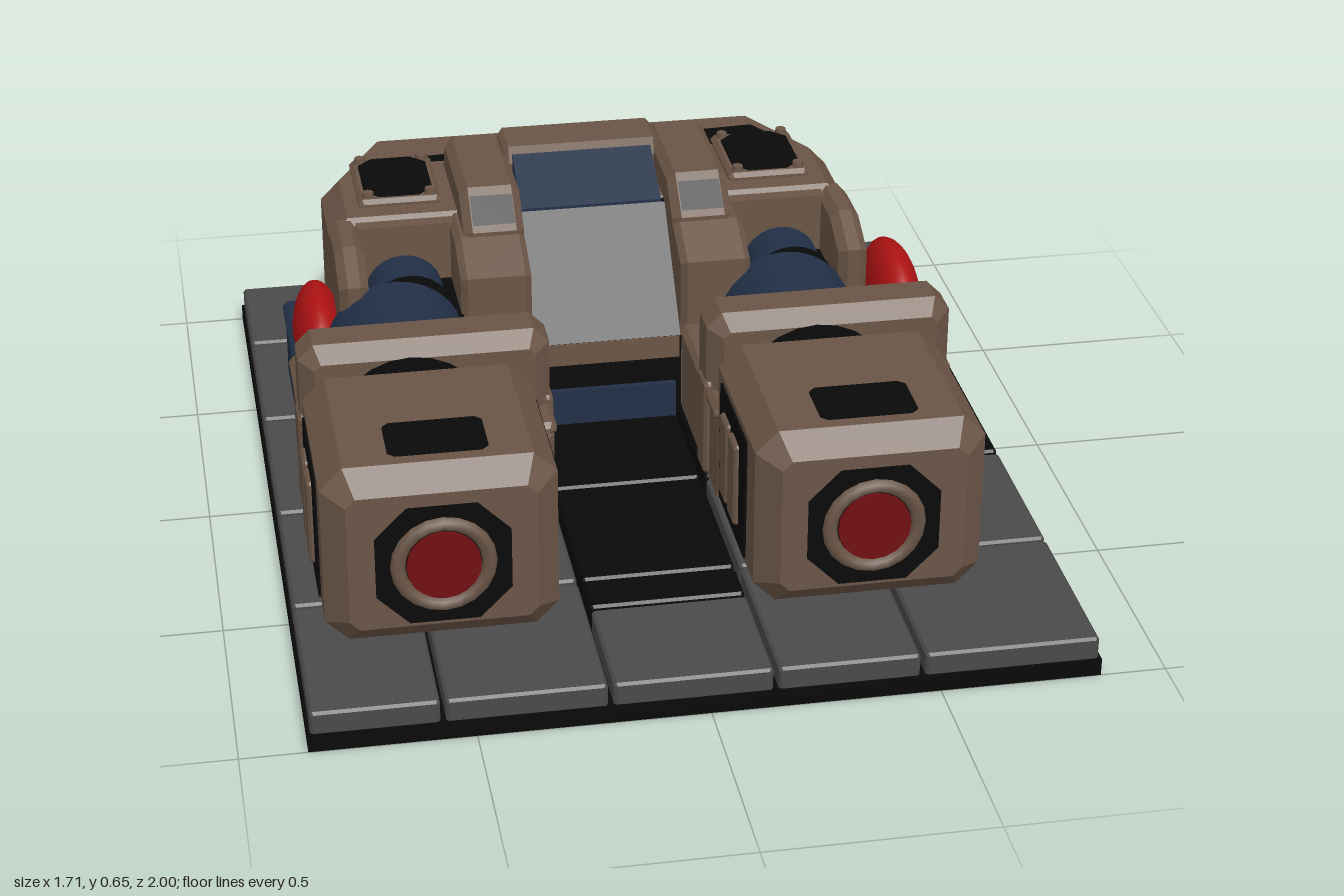
import * as THREE from 'three';

const mat = (name, color, side = THREE.FrontSide) => {
  const m = new THREE.MeshStandardMaterial({ color, side });
  m.name = name;
  return m;
};
const brown = mat('brown armour', 0x6a5546);
const navy = mat('navy metal', 0x223047);
const red = mat('bright red', 0xac1213);
const darkRed = mat('dark red', 0x720f12);
const grey = mat('grey stone', 0x4a4a4a);
const black = mat('black', 0x090909, THREE.DoubleSide);

function add(parent, name, geo, material, x = 0, y = 0, z = 0) {
  const m = new THREE.Mesh(geo, material);
  m.name = name;
  m.position.set(x, y, z);
  parent.add(m);
  return m;
}

const shapeOf = pts => new THREE.Shape(pts.map(p => new THREE.Vector2(p[0], p[1])));

function extrude(pts, depth, bevel = 0, thickness = bevel) {
  return new THREE.ExtrudeGeometry(shapeOf(pts), {
    depth: depth - 2 * thickness, bevelEnabled: bevel > 0, bevelSegments: 1,
    bevelSize: bevel, bevelThickness: thickness, bevelOffset: -bevel,
  }).translate(0, 0, thickness);
}

// Rectangle with cut corners
function cutRect(w, h, c) {
  const a = w / 2, b = h / 2;
  return [[-a + c, -b], [a - c, -b], [a, -b + c], [a, b - c], [a - c, b], [-a + c, b], [-a, b - c], [-a, -b + c]];
}

// Box with every edge chamfered, centred on its origin
const chamferBox = (w, h, d, c) => extrude(cutRect(w, h, c), d, c).translate(0, 0, -d / 2);

// Side profile of [z, y] points, swept from x0 to x1
const prism = (pts, x0, x1, bevel = 0) =>
  extrude(pts, x1 - x0, bevel).rotateY(-Math.PI / 2).translate(x1, 0, 0);

const box = (w, h, d) => new THREE.BoxGeometry(w, h, d);
const cylZ = (r0, r1, len, n = 24) => new THREE.CylinderGeometry(r0, r1, len, n).rotateX(Math.PI / 2);

// Flat fan of 3D points
function panel(pts) {
  const g = new THREE.BufferGeometry().setFromPoints(pts.map(p => new THREE.Vector3(...p)));
  const idx = [];
  for (let i = 1; i < pts.length - 1; i++) idx.push(0, i, i + 1);
  g.setIndex(idx);
  g.computeVertexNormals();
  return g;
}

function buildFloor() {
  const g = new THREE.Group();
  g.name = 'floor';
  add(g, 'floorSlab', box(1.71, 0.04, 2), black, 0, 0.02, 0);
  // Each row: z range, seams along x, indices of dark tiles
  const rows = [
    [-1, -0.68, [-0.855, -0.46, -0.1, 0.4, 0.855], [1]],
    [-0.68, -0.28, [-0.855, -0.215, 0.14, 0.855], [1]],
    [-0.28, 0.17, [-0.855, -0.215, 0.14, 0.855], [1, 2]],
    [0.17, 0.575, [-0.855, -0.215, 0.14, 0.855], [1]],
    [0.575, 1, [-0.855, -0.57, -0.215, 0.14, 0.46, 0.855], [2]],
  ];
  const tile = (x0, x1, z0, z1, m) => add(g, 'floorTile',
    chamferBox(x1 - x0 - 0.012, 0.068, z1 - z0 - 0.012, 0.006), m, (x0 + x1) / 2, 0.057, (z0 + z1) / 2);
  for (const [z0, z1, xs, dark] of rows)
    for (let i = 0; i < xs.length - 1; i++)
      if (!(z0 > 0.5 && i === 2)) tile(xs[i], xs[i + 1], z0, z1, dark.includes(i) ? black : grey);
  tile(-0.215, 0.14, 0.575, 0.69, black);
  tile(-0.215, 0.14, 0.69, 1, grey);
  return g;
}

// Front leg, origin on the foot's centre line
function buildLeg() {
  const g = new THREE.Group();
  g.name = 'leg';
  add(g, 'foot', chamferBox(0.505, 0.42, 0.5, 0.05), brown, 0, 0.312, 0.54);
  // Lamp on the front face
  add(g, 'lampPanel', extrude(cutRect(0.29, 0.28, 0.07), 0.008), black, 0, 0.302, 0.787);
  add(g, 'lampRing', new THREE.TorusGeometry(0.098, 0.018, 6, 20), brown, 0, 0.302, 0.792);
  add(g, 'lamp', cylZ(0.08, 0.08, 0.012, 20), darkRed, 0, 0.302, 0.797);
  add(g, 'topPad', extrude(cutRect(0.215, 0.14, 0.015), 0.006).rotateX(-Math.PI / 2), black, 0.005, 0.52, 0.64);
  // Vents on both sides
  for (const s of [-1, 1]) {
    add(g, 'ventPanel', box(0.008, 0.29, 0.275), black, s * 0.254, 0.31, 0.523);
    for (const z of [0.47, 0.562])
      add(g, 'ventBar', chamferBox(0.02, 0.2, 0.072, 0.006), brown, s * 0.259, 0.31, z);
  }
  // Ankle joint, clamp and housing
  for (const [z, r, m] of [[0.275, 0.18, black], [0.25, 0.165, navy], [0.225, 0.18, black]])
    add(g, 'ankleRing', cylZ(r, r, 0.026), m, 0, 0.31, z);
  add(g, 'legHousing', chamferBox(0.555, 0.23, 0.46, 0.015), brown, 0.035, 0.205, 0.07);
  add(g, 'housingLip', chamferBox(0.57, 0.035, 0.44, 0.012), brown, 0.035, 0.315, 0.07);
  add(g, 'clamp', chamferBox(0.568, 0.23, 0.15, 0.035), brown, 0.035, 0.405, 0.135);
  for (const x of [-0.243, 0.313])
    add(g, 'clampStrap', chamferBox(0.025, 0.24, 0.085, 0.008), brown, x, 0.23, 0.15);
  add(g, 'piston', cylZ(0.165, 0.165, 0.24, 28), navy, 0.005, 0.325, -0.05);
  return g;
}

function buildBody() {
  const g = new THREE.Group();
  g.name = 'body';
  // Plan outline with cut rear corners; shape y is -z
  const plan = (w, wb, zf, zc, zb) =>
    [[-w, -zf], [w, -zf], [w, -zc], [wb, -zb], [-wb, -zb], [-w, -zc]];
  add(g, 'hull', extrude(plan(0.63, 0.495, -0.35, -0.62, -0.872), 0.46, 0.045, 0.05)
    .rotateX(-Math.PI / 2), brown, 0, 0.095, 0);
  add(g, 'lowerRim', extrude(plan(0.655, 0.44, -0.42, -0.58, -0.89), 0.11, 0.012)
    .rotateX(-Math.PI / 2), navy, 0, 0.088, 0);
  // Dark marks on the rear
  add(g, 'roofMark', panel([[-0.49, 0.558, -0.68], [0.53, 0.558, -0.66], [0.47, 0.558, -0.765], [-0.42, 0.558, -0.71]]), black);
  add(g, 'rearMark', panel([[-0.45, 0.5, -0.875], [0.45, 0.5, -0.875], [0.45, 0.42, -0.875], [0.1, 0.46, -0.875], [-0.43, 0.38, -0.875]]), black);

  // Central ramp, window and roof cap
  add(g, 'ramp', prism([[-0.4, 0.09], [-0.4, 0.55], [-0.37, 0.55], [-0.15, 0.3], [-0.15, 0.09]], -0.18, 0.18), black);
  add(g, 'rampLedge', box(0.35, 0.055, 0.008), brown, 0, 0.272, -0.149);
  add(g, 'rampStep', box(0.33, 0.09, 0.02), navy, 0, 0.135, -0.145);
  add(g, 'window', prism([[-0.37, 0.5], [-0.37, 0.557], [-0.54, 0.64], [-0.54, 0.5]], -0.17, 0.17), navy);
  add(g, 'roofCap', prism([[-0.675, 0.54], [-0.645, 0.65], [-0.53, 0.65], [-0.515, 0.61], [-0.515, 0.54]], -0.19, 0.19, 0.012), brown);

  const wall = [[-0.4, 0.1], [-0.4, 0.55], [-0.25, 0.55], [-0.14, 0.495], [-0.14, 0.1]];
  const arm = [[-0.68, 0.5], [-0.675, 0.565], [-0.64, 0.638], [-0.34, 0.638], [-0.25, 0.56], [-0.25, 0.5]];
  for (const s of [-1, 1]) {
    const span = (pts, a, b, bev) => prism(pts, s > 0 ? a : -b, s > 0 ? b : -a, bev);
    add(g, 'outerWall', span(wall, 0.56, 0.63, 0.02), brown);
    add(g, 'innerWall', span(wall, 0.178, 0.345, 0.015), brown);
    add(g, 'canopyArm', span(arm, 0.178, 0.322, 0.02), brown);
    add(g, 'armGap', panel([[s * 0.2, 0.575, -0.259], [s * 0.3, 0.575, -0.259], [s * 0.3, 0.625, -0.317], [s * 0.2, 0.625, -0.317]]), black);
    // Recess with its piston rod
    add(g, 'recess', box(0.23, 0.3, 0.23), black, s * 0.452, 0.25, -0.265);
    add(g, 'pistonRod', cylZ(0.093, 0.093, 0.24), navy, s * 0.46, 0.375, -0.26);
    add(g, 'rodCollar', cylZ(0.105, 0.105, 0.03), black, s * 0.46, 0.375, -0.2);
    add(g, 'recessHood', box(0.23, 0.04, 0.05), brown, s * 0.452, 0.525, -0.375);
    // Bolted roof plate
    add(g, 'roofPlate', chamferBox(0.2, 0.03, 0.25, 0.01), brown, s * 0.452, 0.557, -0.57);
    add(g, 'plateInset', extrude(cutRect(0.165, 0.215, 0.035), 0.006).rotateX(-Math.PI / 2), black, s * 0.452, 0.57, -0.57);
    for (const dx of [-0.075, 0.075]) for (const dz of [-0.1, 0.1])
      add(g, 'bolt', new THREE.CylinderGeometry(0.013, 0.015, 0.02, 8), brown, s * 0.452 + dx, 0.575, -0.57 + dz);
    // Dark wedge on the cut rear corner
    const onCut = (t, y) => [s * (0.634 - 0.135 * t), y, -0.622 - 0.252 * t];
    add(g, 'cornerMark', panel([onCut(0.2, 0.2), onCut(0.9, 0.2), onCut(0.45, 0.44)]), black);
    // Thruster drum
    add(g, 'thrusterNeck', cylZ(0.115, 0.115, 0.1), navy, s * 0.248, 0.235, -0.91);
    add(g, 'thrusterBand', cylZ(0.125, 0.125, 0.02), black, s * 0.248, 0.235, -0.925);
    add(g, 'thruster', cylZ(0.138, 0.125, 0.05), navy, s * 0.248, 0.235, -0.96);
    add(g, 'thrusterCap', cylZ(0.125, 0.138, 0.015), navy, s * 0.248, 0.235, -0.9925);
  }
  add(g, 'rearBlock', chamferBox(0.19, 0.22, 0.14, 0.02), brown, 0, 0.21, -0.91);
  add(g, 'rearBlockTop', chamferBox(0.21, 0.07, 0.1, 0.015), brown, 0, 0.315, -0.915);
  return g;
}

// Side pod with a red dome
function buildPod() {
  const g = new THREE.Group();
  g.name = 'sidePod';
  add(g, 'podBase', chamferBox(0.135, 0.19, 0.375, 0.015), navy, 0, 0.185, -0.325);
  add(g, 'podRim', chamferBox(0.145, 0.035, 0.38, 0.012), navy, 0, 0.275, -0.325);
  add(g, 'dome', new THREE.SphereGeometry(1, 28, 14).scale(0.062, 0.12, 0.175), red, 0, 0.287, -0.322);
  return g;
}

export function createModel() {
  const model = new THREE.Group();
  model.name = 'groundMachine';
  model.add(buildFloor());
  const body = buildBody();
  body.position.x = -0.033;
  model.add(body);
  for (const x of [-0.538, 0.392]) {
    const leg = buildLeg();
    leg.position.x = x;
    model.add(leg);
  }
  for (const s of [-1, 1]) {
    const pod = buildPod();
    pod.position.x = s * 0.703;
    model.add(pod);
  }
  return model;
}
